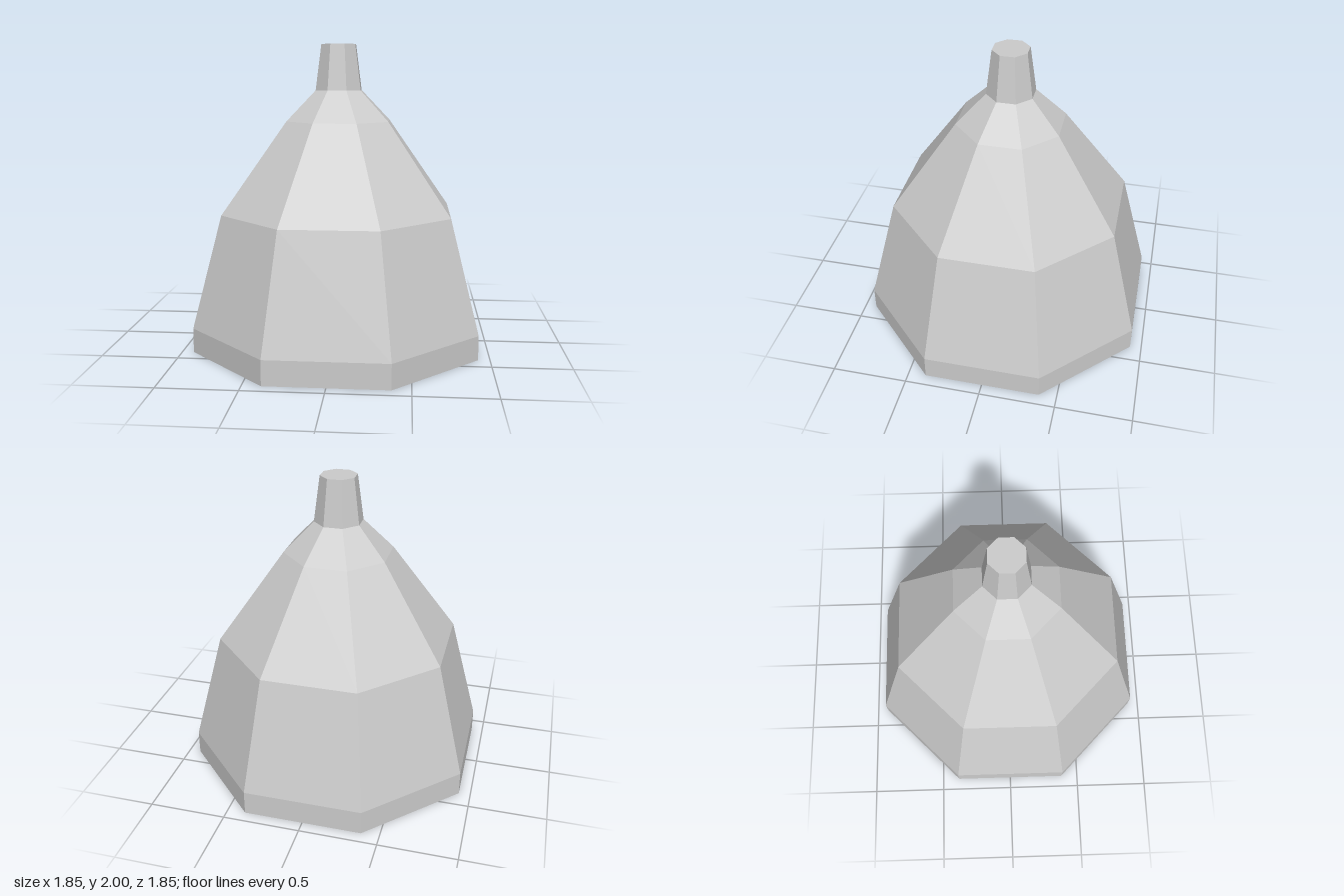
import * as THREE from 'three';

const SIDES = 8;

// Eight-sided faceted solid from [radius, height] pairs, flat side to the front
function facetedLathe(name, profile, material) {
  const points = profile.map(([r, y]) => new THREE.Vector2(r, y));
  const geometry = new THREE.LatheGeometry(points, SIDES, Math.PI / SIDES);
  const mesh = new THREE.Mesh(geometry, material);
  mesh.name = name;
  return mesh;
}

export function createModel() {
  const group = new THREE.Group();
  group.name = 'facetedBell';

  const grey = new THREE.MeshStandardMaterial({ color: 0xcccccc });
  grey.name = 'lightGrey';
  grey.flatShading = true;

  // Closed underside and upright rim
  group.add(facetedLathe('baseRim', [[0, 0], [1, 0], [1, 0.16]], grey));
  // Tapering body up to the shoulder
  group.add(facetedLathe('body', [[1, 0.16], [0.8, 0.9], [0.36, 1.5], [0.16, 1.7]], grey));
  // Narrow neck with a closed top
  group.add(facetedLathe('neck', [[0.16, 1.7], [0.12, 2], [0, 2]], grey));

  return group;
}
